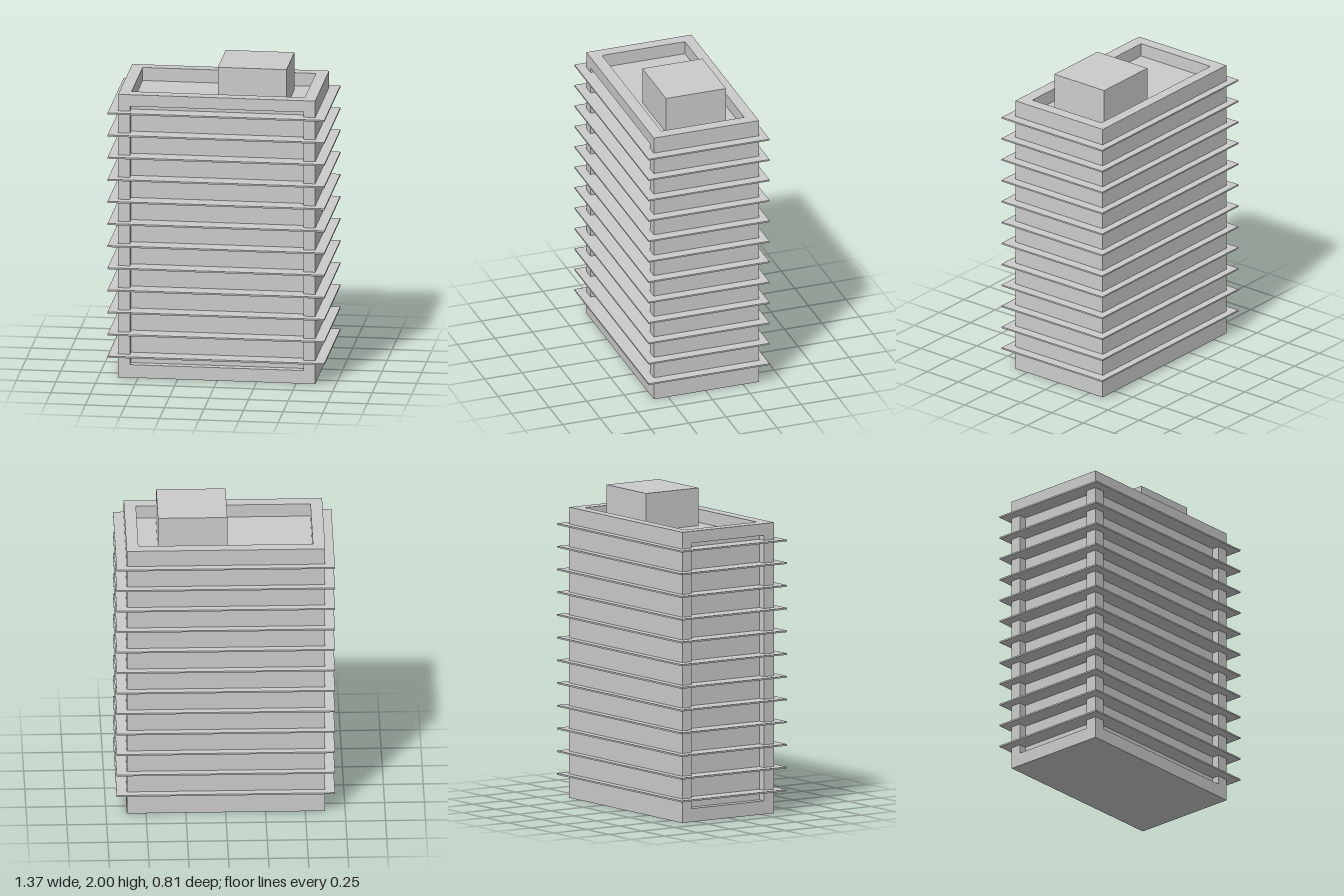
import * as THREE from 'three';

const material = new THREE.MeshStandardMaterial({ color: 0xcccccc, flatShading: true });

function add(group, name, geometry) {
  const mesh = new THREE.Mesh(geometry, material);
  mesh.name = name;
  group.add(mesh);
  return mesh;
}

// Box from its minimum and maximum corners
function block(group, name, [x0, y0, z0], [x1, y1, z1]) {
  const mesh = add(group, name, new THREE.BoxGeometry(x1 - x0, y1 - y0, z1 - z0));
  mesh.position.set((x0 + x1) / 2, (y0 + y1) / 2, (z0 + z1) / 2);
  return mesh;
}

// Rectangular frame: outer and inner are [u0, v0, u1, v1]
function frame(outer, inner, depth) {
  const corners = ([u0, v0, u1, v1]) => [
    new THREE.Vector2(u0, v0), new THREE.Vector2(u1, v0),
    new THREE.Vector2(u1, v1), new THREE.Vector2(u0, v1),
  ];
  const shape = new THREE.Shape(corners(outer));
  shape.holes.push(new THREE.Path(corners(inner).reverse()));
  return new THREE.ExtrudeGeometry(shape, { depth, bevelEnabled: false });
}

export function createModel() {
  const group = new THREE.Group();
  group.name = 'building';

  // Outer limits of the tower, openings and recess depth
  const left = -0.625, right = 0.62, back = -0.355, front = 0.345;
  const height = 1.845, roofY = 1.76, recess = 0.05;
  const openX = [-0.55, 0.545], openY = [0.085, 1.77], openZ = [-0.285, 0.268];
  const coreLeft = left + recess, coreFront = front - recess;

  // Solid core up to the roof deck
  block(group, 'core', [coreLeft, 0, back], [right, roofY, coreFront]);

  // Raised frame around the recessed front facade
  add(group, 'frontFrame', frame(
    [left, 0, right, height], [openX[0], openY[0], openX[1], openY[1]], recess,
  )).position.z = coreFront;

  // Raised frame around the recessed facade on the -x side
  const side = frame(
    [back, 0, coreFront, height], [openZ[0], openY[0], openZ[1], openY[1]], recess,
  );
  add(group, 'sideFrame', side.rotateY(-Math.PI / 2)).position.x = coreLeft;

  // Parapet around the sunken roof
  const parapet = frame(
    [coreLeft, -coreFront, right, -back], [openX[0], -openZ[1], openX[1], -openZ[0]], height - roofY,
  );
  add(group, 'parapet', parapet.rotateX(-Math.PI / 2)).position.y = roofY;

  // Rooftop plant room
  block(group, 'plantRoom', [-0.015, roofY, -0.208], [0.42, 2, 0.192]);

  // Thin projecting floor slabs
  const floors = 12, thickness = 0.01;
  for (let i = 0; i < floors; i++) {
    const y = 0.147 + i * 0.1442;
    block(group, `floorSlab${i + 1}`,
      [-0.685, y - thickness / 2, -0.403], [0.685, y + thickness / 2, 0.403]);
  }

  return group;
}
